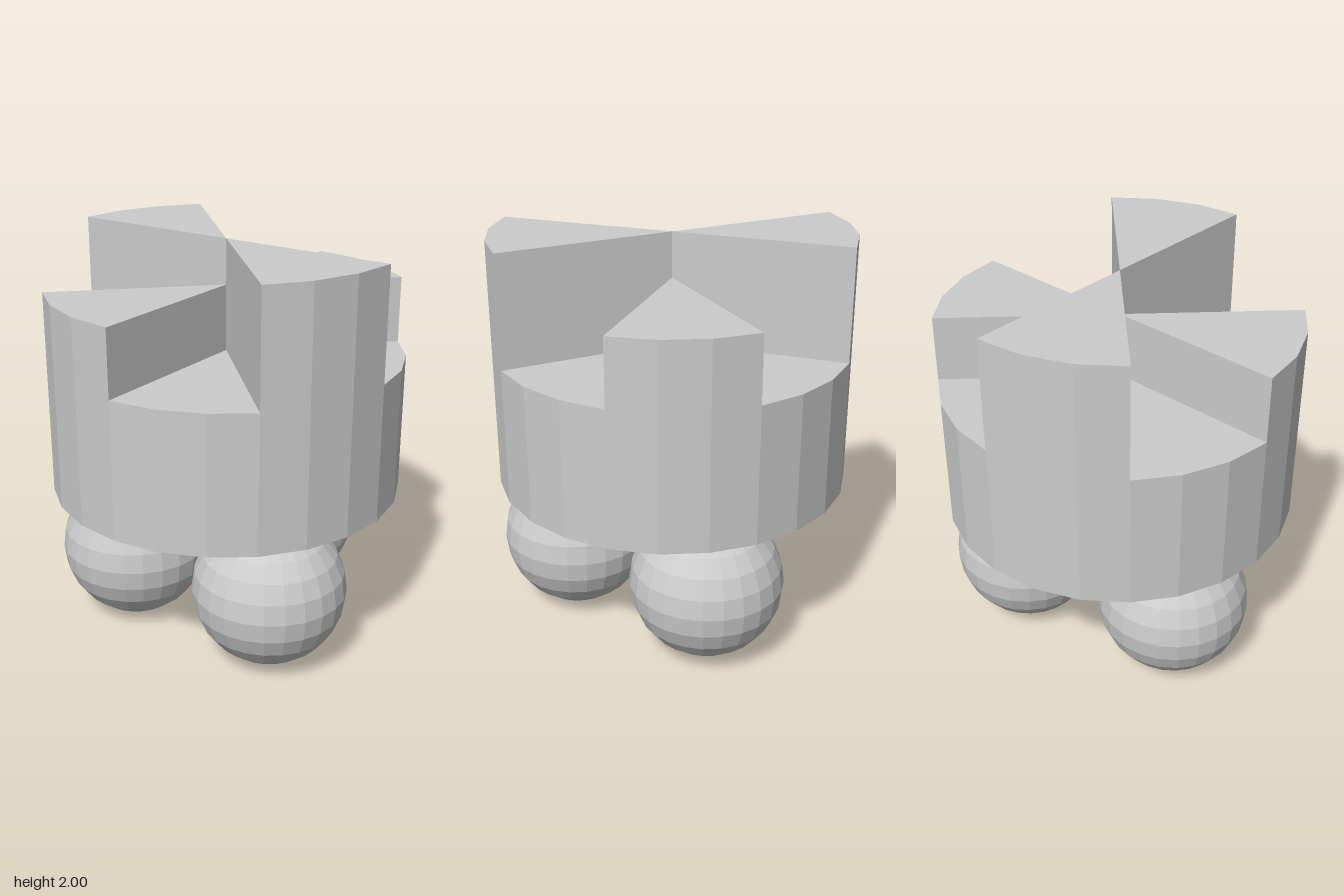
import * as THREE from 'three';

const R = 0.877, SIDES = 24, BODY_Y = 0.76, LOW = 1.445, MID = 1.775, HIGH = 2;

export function createModel() {
  const group = new THREE.Group();
  const mat = new THREE.MeshStandardMaterial({ color: 0xcccccc, flatShading: true });
  const add = (name, geo, x = 0, y = 0, z = 0) => {
    const mesh = new THREE.Mesh(geo, mat);
    mesh.name = name;
    mesh.position.set(x, y, z);
    group.add(mesh);
  };

  // faceted drum body
  add('drumBody', new THREE.CylinderGeometry(R, R, LOW - BODY_Y, SIDES), 0, (LOW + BODY_Y) / 2, 0);

  // 45 degree wedge, starting at angle a (from +z towards +x)
  const wedge = (a, height) => {
    const shape = new THREE.Shape().moveTo(0, 0);
    for (let i = 0; i <= 3; i++) {
      const t = a + (i * Math.PI * 2) / SIDES;
      shape.lineTo(R * Math.sin(t), -R * Math.cos(t));
    }
    shape.closePath();
    return new THREE.ExtrudeGeometry(shape, { depth: height, bevelEnabled: false }).rotateX(-Math.PI / 2);
  };

  // two medium and two tall wedges alternating with gaps
  [[1, MID], [3, HIGH], [5, MID], [7, HIGH]].forEach(([sector, top]) =>
    add(top === HIGH ? 'tallWedge' : 'mediumWedge', wedge((sector * Math.PI) / 4, top - LOW), 0, LOW, 0));

  // three ball feet
  for (const [x, z] of [[0.488, 0.05], [-0.248, 0.436], [-0.248, -0.408]])
    add('ballFoot', new THREE.SphereGeometry(0.38, SIDES, 12), x, 0.38, z);

  return group;
}
